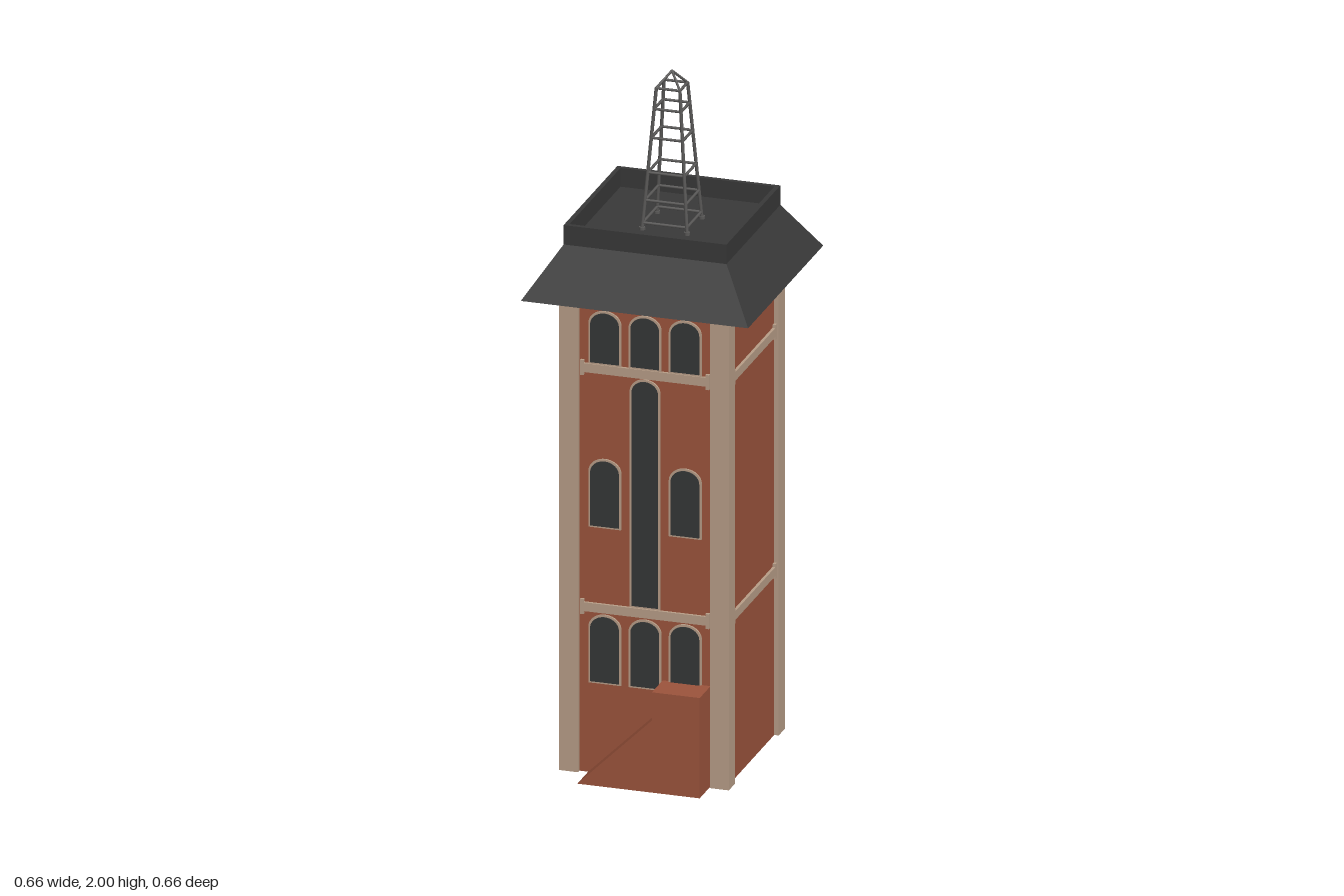
import * as THREE from 'three';

const mat = (name, color) => {
  const m = new THREE.MeshStandardMaterial({ color });
  m.name = name;
  return m;
};

export function createModel() {
  const brick = mat('brick', 0x9c543c);
  const stone = mat('stone', 0xb89e88);
  const slate = mat('slate', 0x393939);
  const glass = mat('glass', 0x353737);
  const steel = mat('steel', 0x5a5958);

  const tower = new THREE.Group();
  tower.name = 'tower';
  const add = (parent, name, geo, material, x = 0, y = 0, z = 0) => {
    const m = new THREE.Mesh(geo, material);
    m.name = name;
    m.position.set(x, y, z);
    parent.add(m);
    return m;
  };
  // Same material on every side, with a dark underside
  const darkBottom = (m) => [m, m, m, slate, m, m];

  // Brick shaft and stone corner posts
  const H = 1.405, WALL = 0.232;
  add(tower, 'shaft', new THREE.BoxGeometry(WALL * 2, H, WALL * 2), darkBottom(brick), 0, H / 2, 0);
  for (const sx of [-1, 1]) for (const sz of [-1, 1])
    add(tower, 'cornerPost', new THREE.BoxGeometry(0.055, H, 0.055), darkBottom(stone), sx * 0.2175, H / 2, sz * 0.2175);

  // Stone bands with taller end blocks, on all four sides
  for (let i = 0; i < 4; i++) {
    const side = new THREE.Group();
    side.name = 'bands';
    side.rotation.y = i * Math.PI / 2;
    for (const y of [0.487, 1.19]) {
      add(side, 'band', new THREE.BoxGeometry(0.36, 0.026, 0.008), stone, 0, y, WALL + 0.004);
      for (const s of [-1, 1])
        add(side, 'bandEnd', new THREE.BoxGeometry(0.01, 0.044, 0.009), stone, s * 0.181, y, WALL + 0.0045);
    }
    tower.add(side);
  }

  // Arched windows: a stone surround plate with a glass plate on top
  const arch = (hw, y0, y1, rise, depth) => {
    const s = new THREE.Shape();
    s.moveTo(-hw, y0);
    s.lineTo(hw, y0);
    s.lineTo(hw, y1 - rise);
    s.absellipse(0, y1 - rise, hw, rise, 0, Math.PI, false);
    s.closePath();
    return new THREE.ExtrudeGeometry(s, { depth, bevelEnabled: false, curveSegments: 10 });
  };
  const addWindow = (x, y0, y1, hw = 0.041) => {
    const w = new THREE.Group();
    w.name = 'window';
    add(w, 'surround', arch(hw + 0.006, y0 - 0.005, y1 + 0.006, 0.038, 0.005), stone);
    add(w, 'pane', arch(hw, y0, y1, 0.034, 0.0075), glass);
    w.position.set(x, 0, WALL);
    tower.add(w);
  };
  for (const x of [-0.116, 0, 0.116]) {
    addWindow(x, 0.27, 0.462);
    addWindow(x, 1.208, 1.355);
    if (x) addWindow(x, 0.728, 0.92);
  }
  addWindow(0, 0.506, 1.168, 0.038);

  // Entrance block with a sloping stair wall
  const outline = [[-0.165, 0], [0.188, 0], [0.188, 0.295], [0.05, 0.295], [0.05, 0.212]];
  const porch = new THREE.Shape(outline.map(([x, y]) => new THREE.Vector2(x, y)));
  add(tower, 'entranceBlock', new THREE.ExtrudeGeometry(porch, { depth: 0.1, bevelEnabled: false }), brick, 0, 0, 0.227);
  const under = add(tower, 'entranceUnderside', new THREE.PlaneGeometry(0.353, 0.095), slate, 0.0115, -0.0005, 0.2795);
  under.rotation.x = Math.PI / 2;

  // Flared roof with a parapet and sunken deck: a four-sided lathe
  const DECK = 1.545;
  const profile = [[0, 1.4], [0.328, 1.4], [0.235, 1.543], [0.235, 1.6], [0.222, 1.6], [0.222, DECK], [0, DECK]]
    .map(([r, y]) => new THREE.Vector2(r * Math.SQRT2, y));
  const roof = new THREE.LatheGeometry(profile, 4, Math.PI / 4).toNonIndexed();
  roof.computeVertexNormals();
  add(tower, 'roof', roof, slate);

  // Lattice mast: four tapering legs, square rings and a pointed cap
  const mast = new THREE.Group();
  mast.name = 'mast';
  tower.add(mast);
  const rod = (name, a, b, r) => {
    const dir = b.clone().sub(a);
    const m = add(mast, name, new THREE.CylinderGeometry(r, r, dir.length(), 8), steel);
    m.position.copy(a).add(b).multiplyScalar(0.5);
    m.quaternion.setFromUnitVectors(new THREE.Vector3(0, 1, 0), dir.normalize());
  };
  const TOP = 1.953;
  const corner = (i, y) => {
    const h = THREE.MathUtils.mapLinear(y, DECK, TOP, 0.065, 0.034);
    const a = Math.PI / 4 + i * Math.PI / 2;
    return new THREE.Vector3(Math.cos(a) * h * Math.SQRT2, y, Math.sin(a) * h * Math.SQRT2);
  };
  for (let i = 0; i < 4; i++) {
    rod('mastLeg', corner(i, DECK), corner(i, TOP), 0.005);
    rod('mastCap', corner(i, TOP), new THREE.Vector3(0, 1.996, 0), 0.0035);
    const foot = corner(i, DECK + 0.004);
    add(mast, 'mastFoot', new THREE.CylinderGeometry(0.009, 0.009, 0.008, 8), steel, foot.x, foot.y, foot.z);
    for (const y of [1.565, 1.63, 1.71, 1.81, 1.893, TOP])
      rod('mastRung', corner(i, y), corner(i + 1, y), 0.004);
  }
  return tower;
}
